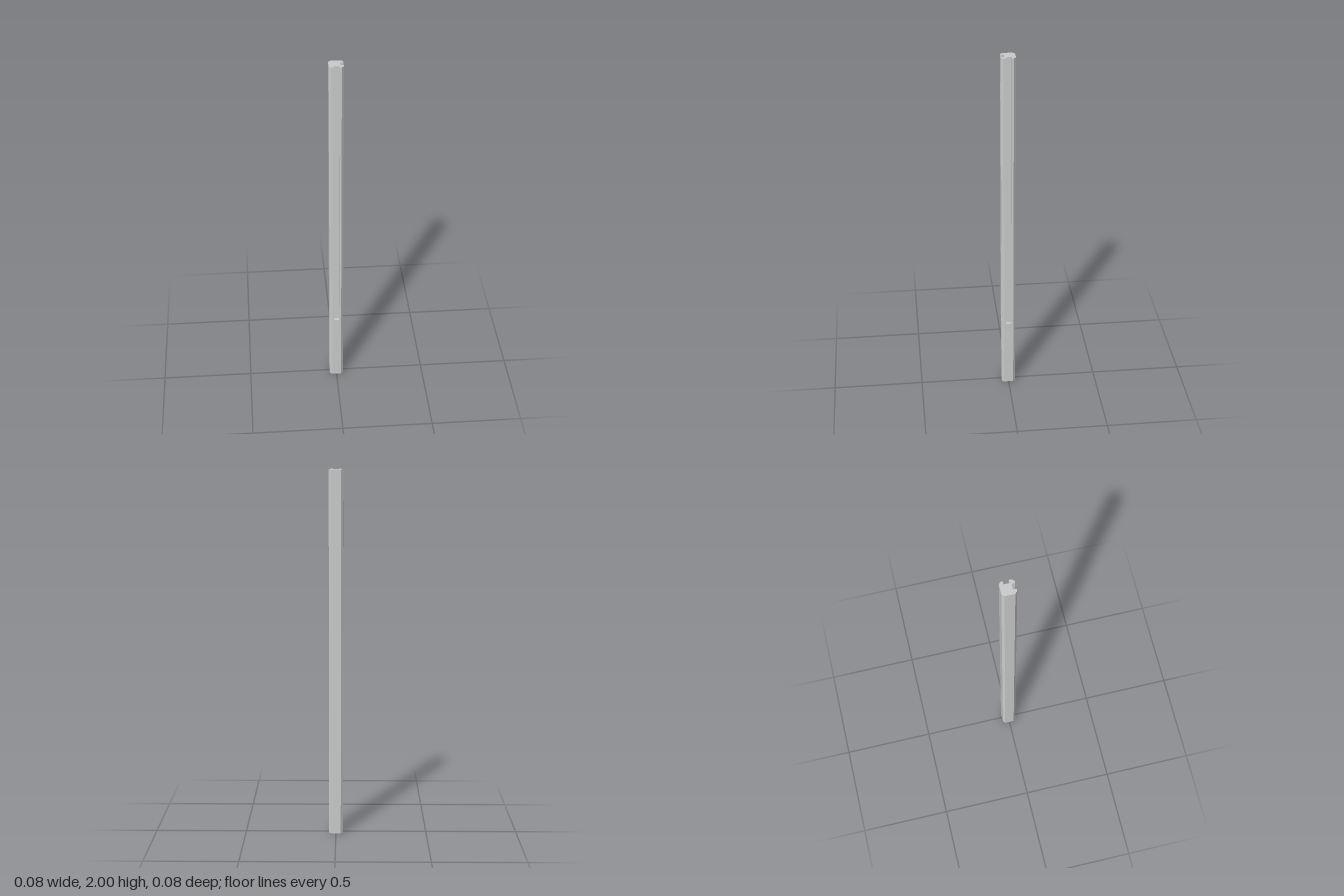
import * as THREE from 'three';

const HALF = 0.0385;      // half width of the post
const FLAT = 0.0265;      // half width of each flat between chamfers
const HEIGHT = 2;
const GROOVE_START = 0.4; // grooves run from here to the top

// Stands an x/z outline upright between two heights
function prism(name, outline, bottom, top, material) {
  const shape = new THREE.Shape(outline.map(([x, z]) => new THREE.Vector2(x, -z)));
  const geometry = new THREE.ExtrudeGeometry(shape, { depth: top - bottom, bevelEnabled: false });
  geometry.rotateX(-Math.PI / 2);
  geometry.translate(0, bottom, 0);
  const mesh = new THREE.Mesh(geometry, material);
  mesh.name = name;
  return mesh;
}

export function createModel() {
  const group = new THREE.Group();
  group.name = 'groovedPost';
  const material = new THREE.MeshStandardMaterial({ color: 0xcccccc, flatShading: true });

  // Chamfered corners, split so that grooves can be inserted in two sides
  const backAndLeft = [[FLAT, -HALF], [-FLAT, -HALF], [-HALF, -FLAT], [-HALF, FLAT], [-FLAT, HALF]];
  const frontCorner = [[FLAT, HALF], [HALF, FLAT]];
  const backCorner = [[HALF, -FLAT]];

  // Rectangular grooves in the front and +x sides
  const frontGroove = [[-0.0145, HALF], [-0.0145, 0.0205], [0.0155, 0.0205], [0.0155, HALF]];
  const sideGroove = [[HALF, 0.0125], [0.0215, 0.0125], [0.0215, -0.0165], [HALF, -0.0165]];

  // Solid foot
  group.add(prism('postBase', [...backAndLeft, ...frontCorner, ...backCorner], 0, GROOVE_START, material));

  // Grooved shaft
  group.add(prism('groovedShaft',
    [...backAndLeft, ...frontGroove, ...frontCorner, ...sideGroove, ...backCorner],
    GROOVE_START, HEIGHT, material));

  return group;
}
